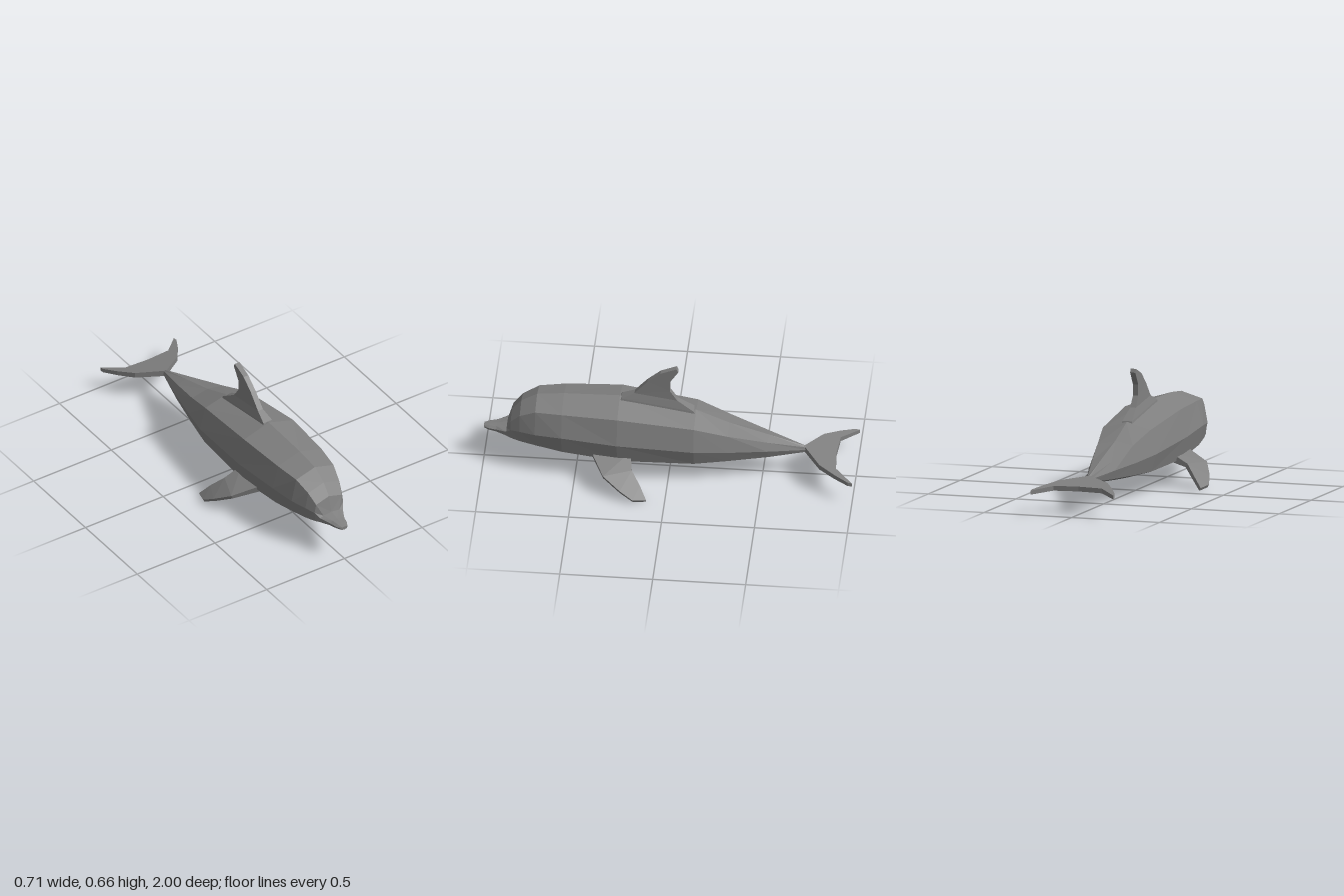
import * as THREE from 'three';

const skin = new THREE.MeshStandardMaterial({ color: 0x808080 });
skin.name = 'greySkin';

// Skin a list of point rings (each clockwise along the direction of travel), with capped ends
function loft(name, rings) {
  const pos = [];
  const tri = (...pts) => pts.forEach((p) => pos.push(...p));
  const n = rings[0].length;
  for (let i = 0; i < rings.length - 1; i++) {
    for (let j = 0; j < n; j++) {
      const k = (j + 1) % n;
      const a = rings[i][j], b = rings[i][k], c = rings[i + 1][k], d = rings[i + 1][j];
      // mirror the diagonals so both halves match
      if (a[0] + b[0] + c[0] + d[0] < 0) { tri(a, b, d); tri(b, c, d); }
      else { tri(a, b, c); tri(a, c, d); }
    }
  }
  const first = rings[0], last = rings[rings.length - 1];
  for (let j = 1; j < n - 1; j++) {
    tri(first[0], first[j + 1], first[j]);
    tri(last[0], last[j], last[j + 1]);
  }
  const geometry = new THREE.BufferGeometry();
  geometry.setAttribute('position', new THREE.Float32BufferAttribute(pos, 3));
  geometry.computeVertexNormals(); // unshared corners give flat facets
  const mesh = new THREE.Mesh(geometry, skin);
  mesh.name = name;
  return mesh;
}

// Eight-sided body from beak to tail:
// z, top y, shoulder x y, flank x y, lower edge x y, keel y
function createBody() {
  const sections = [
    [1.0, 0.215, 0.014, 0.214, 0.02, 0.206, 0.014, 0.198, 0.195],
    [0.97, 0.22, 0.022, 0.219, 0.036, 0.21, 0.03, 0.196, 0.189],
    [0.93, 0.226, 0.03, 0.223, 0.046, 0.212, 0.042, 0.196, 0.181],
    [0.875, 0.237, 0.05, 0.23, 0.073, 0.222, 0.072, 0.196, 0.168],
    [0.85, 0.325, 0.082, 0.3, 0.092, 0.25, 0.088, 0.195, 0.162],
    [0.8, 0.385, 0.1, 0.355, 0.118, 0.262, 0.108, 0.192, 0.15],
    [0.715, 0.435, 0.12, 0.4, 0.15, 0.27, 0.13, 0.187, 0.13],
    [0.57, 0.45, 0.14, 0.408, 0.177, 0.278, 0.152, 0.17, 0.11],
    [0.27, 0.457, 0.158, 0.408, 0.194, 0.26, 0.165, 0.14, 0.07],
    [-0.14, 0.39, 0.135, 0.355, 0.168, 0.225, 0.14, 0.13, 0.09],
    [-0.32, 0.315, 0.1, 0.295, 0.125, 0.205, 0.105, 0.135, 0.105],
    [-0.53, 0.25, 0.055, 0.235, 0.075, 0.19, 0.06, 0.142, 0.125],
    [-0.73, 0.187, 0.008, 0.182, 0.012, 0.168, 0.008, 0.152, 0.148],
  ];
  return loft('body', sections.map(([z, top, sx, sy, mx, my, lx, ly, keel]) => [
    [0, top, z], [sx, sy, z], [mx, my, z], [lx, ly, z],
    [0, keel, z], [-lx, ly, z], [-mx, my, z], [-sx, sy, z],
  ]));
}

// Swept-back dorsal fin: front z y, back z y, half width
function createDorsalFin() {
  const rows = [
    [0.27, 0.43, -0.14, 0.37, 0.032],
    [0.26, 0.457, -0.13, 0.395, 0.028],
    [0.19, 0.49, -0.04, 0.455, 0.016],
    [0.12, 0.57, 0, 0.515, 0.015],
    [0.05, 0.63, 0, 0.575, 0.015],
    [-0.035, 0.665, -0.045, 0.645, 0.015],
  ];
  return loft('dorsalFin', rows.map(([fz, fy, bz, by, w]) => [
    [-w, fy, fz], [w, fy, fz], [w, by, bz], [-w, by, bz],
  ]));
}

// Crescent tail fluke: x, leading z, trailing z
function createFluke() {
  const half = [
    [0, -0.72, -0.895], [0.137, -0.815, -0.905],
    [0.195, -0.9, -0.96], [0.236, -0.975, -1.0],
  ];
  const rows = [...half.slice(1).reverse().map(([x, f, b]) => [-x, f, b]), ...half];
  const top = (z) => 0.187 + (z + 0.72) * 0.193;
  const bottom = (z) => 0.152 + (z + 0.72) * 0.143;
  return loft('tailFluke', rows.map(([x, f, b]) => [
    [x, top(b), b], [x, top(f), f], [x, bottom(f), f], [x, bottom(b), b],
  ]));
}

// Drooping flipper: leading point, trailing point, thickness
function createFlipper(name, side) {
  const rows = [
    [[0.13, 0.188, 0.42], [0.13, 0.18, 0.2], 0.04],
    [[0.285, 0.123, 0.335], [0.228, 0.13, 0.185], 0.02],
    [[0.335, 0.066, 0.24], [0.285, 0.072, 0.135], 0.018],
    [[0.356, 0.026, 0.17], [0.335, 0.016, 0.098], 0.015],
  ];
  return loft(name, rows.map(([lead, trail, t]) => {
    const under = (p) => [p[0] - t * 0.5, p[1] - t, p[2]];
    const ring = [trail, lead, under(lead), under(trail)];
    return side > 0 ? ring : ring.map(([x, y, z]) => [-x, y, z]).reverse();
  }));
}

export function createModel() {
  const model = new THREE.Group();
  model.name = 'dolphin';
  model.add(
    createBody(),
    createDorsalFin(),
    createFluke(),
    createFlipper('leftFlipper', 1),
    createFlipper('rightFlipper', -1),
  );
  return model;
}
